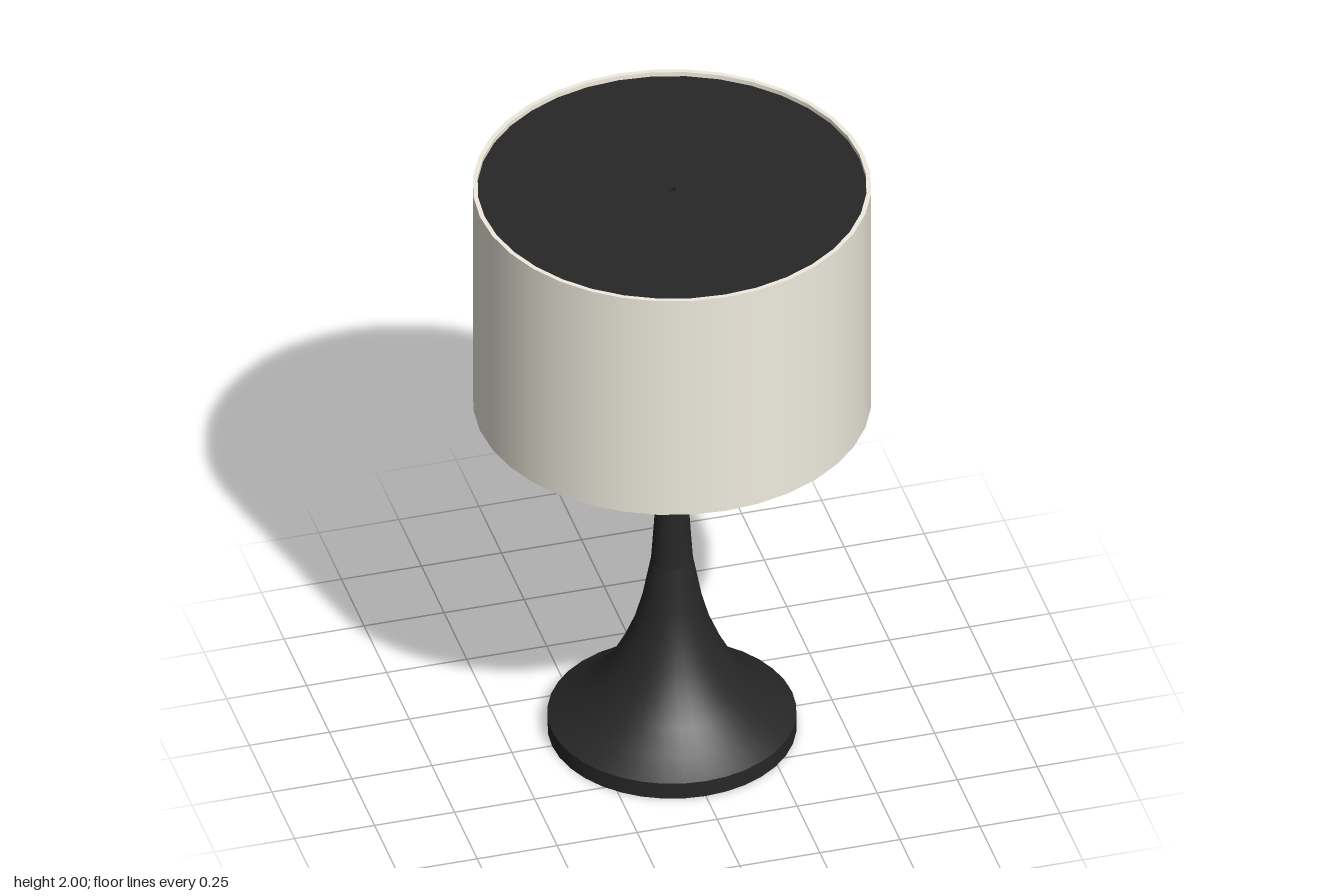
import * as THREE from 'three';

const SIDES = 36;
const v = (r, y) => new THREE.Vector2(r, y);

export function createModel() {
  const lamp = new THREE.Group();
  lamp.name = 'tableLamp';
  const black = new THREE.MeshStandardMaterial({ color: 0x272727, side: THREE.DoubleSide });
  const fabric = new THREE.MeshStandardMaterial({ color: 0xf0ecdf, side: THREE.DoubleSide });

  const add = (name, geometry, material, y = 0) => {
    const mesh = new THREE.Mesh(geometry, material);
    mesh.name = name;
    mesh.position.y = y;
    lamp.add(mesh);
    return mesh;
  };
  const lathe = (name, points, material) =>
    add(name, new THREE.LatheGeometry(points, SIDES), material);

  // Hollow foot: straight lip, then a flared trumpet, open underneath
  lathe('footLip', [v(0.375, 0), v(0.375, 0.055)], black);
  lathe('flaredBase', [
    v(0.375, 0.055), v(0.30, 0.103), v(0.24, 0.162), v(0.19, 0.228), v(0.15, 0.305),
    v(0.115, 0.39), v(0.09, 0.48), v(0.063, 0.625),
  ], black);

  // Tapered tube from the flare up through the shade
  lathe('stem', [v(0.063, 0.625), v(0.024, 1.21), v(0.012, 1.985)], black);

  // Drum shade wall: outside, inside and the two thin rims
  const [outer, inner, bottom, top] = [0.6, 0.586, 1.21, 2];
  lathe('shadeOuter', [v(outer, bottom), v(outer, top)], fabric);
  lathe('shadeInner', [v(inner, top), v(inner, bottom)], fabric);
  lathe('shadeTopRim', [v(outer, top), v(inner, top)], fabric);
  lathe('shadeBottomRim', [v(inner, bottom), v(outer, bottom)], fabric);

  // Slightly recessed diffuser discs, each with a hole around the stem
  const disc = (name, hole, y, tilt) => {
    const ring = new THREE.RingGeometry(hole, inner, SIDES);
    ring.rotateX(tilt);
    add(name, ring, black, y);
  };
  disc('topDiffuser', 0.012, top - 0.015, -Math.PI / 2);
  disc('bottomDiffuser', 0.03, bottom + 0.015, Math.PI / 2);

  return lamp;
}
